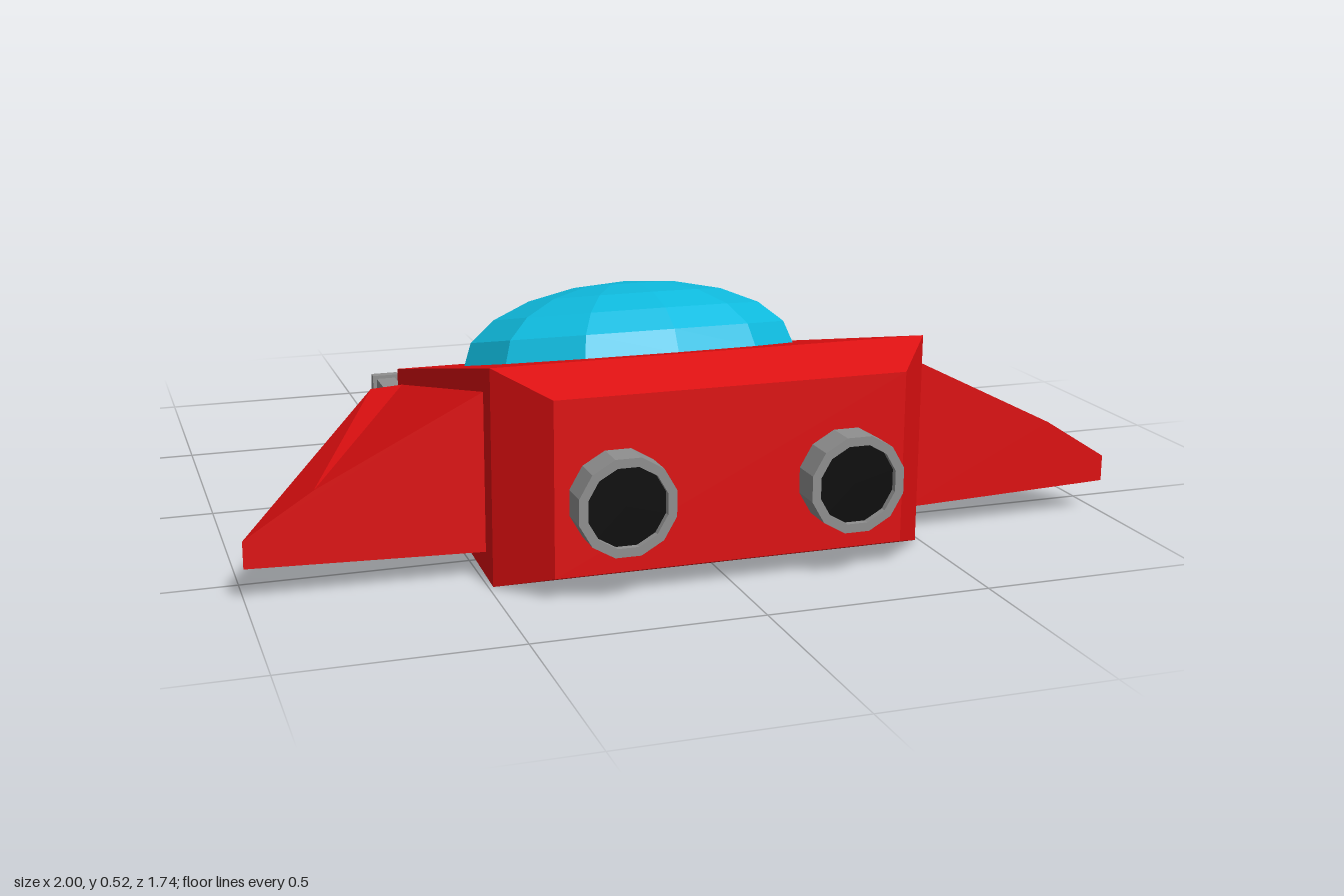
import * as THREE from 'three';

const paint = (name, color) => {
  const m = new THREE.MeshStandardMaterial({ color, flatShading: true });
  m.name = name;
  return m;
};

// Skin between cross-sections given from -z to +z, each { z, pts } with pts counter-clockwise seen from +z
function loft(sections) {
  const pos = [];
  const put = (s, i) => pos.push(s.pts[i][0], s.pts[i][1], s.z);
  const n = sections[0].pts.length;
  for (let k = 0; k < sections.length - 1; k++) {
    const a = sections[k], b = sections[k + 1];
    for (let i = 0; i < n; i++) {
      const j = (i + 1) % n;
      put(a, i); put(a, j); put(b, j);
      put(a, i); put(b, j); put(b, i);
    }
  }
  const first = sections[0], last = sections[sections.length - 1];
  for (let i = 1; i < n - 1; i++) {
    put(last, 0); put(last, i); put(last, i + 1);
    put(first, 0); put(first, i + 1); put(first, i);
  }
  const g = new THREE.BufferGeometry();
  g.setAttribute('position', new THREE.Float32BufferAttribute(pos, 3));
  g.computeVertexNormals();
  return g;
}

// Rectangular section centred on x = 0
const rect = (z, w, y0, y1) => ({ z, pts: [[-w, y0], [w, y0], [w, y1], [-w, y1]] });

export function createModel() {
  const red = paint('red hull', 0xdd0f10);
  const blue = paint('blue glass', 0x0fbce0);
  const grey = paint('grey metal', 0x8f8f8f);
  const black = paint('black opening', 0x0a0a0a);

  const model = new THREE.Group();
  model.name = 'spaceship';
  const add = (name, geometry, material, x = 0, y = 0, z = 0) => {
    const mesh = new THREE.Mesh(geometry, material);
    mesh.name = name;
    mesh.position.set(x, y, z);
    model.add(mesh);
    return mesh;
  };

  // Wedge-shaped hull
  add('hull', loft([
    rect(-0.87, 0.275, 0, 0.075),
    rect(-0.31, 0.49, 0.045, 0.238),
    rect(0.675, 0.49, 0, 0.475),
    rect(0.8, 0.39, 0.05, 0.43),
  ]), red);

  // Canopy: flattened dome lying on the sloping deck
  const dome = new THREE.SphereGeometry(1, 12, 5, 0, Math.PI * 2, 0, Math.PI / 2);
  dome.scale(0.408, 0.178, 0.375);
  add('canopy', dome, blue, 0, 0.332, 0.09).rotation.x = -Math.atan(0.241);

  // Engine ring outline with its hole
  const ring = new THREE.Shape();
  const hole = new THREE.Path();
  for (let i = 0; i < 12; i++) {
    const a = (i + 0.5) * Math.PI / 6;
    const c = Math.cos(a), s = Math.sin(a);
    ring[i ? 'lineTo' : 'moveTo'](0.108 * c, 0.108 * s);
    hole[i ? 'lineTo' : 'moveTo'](0.088 * c, 0.088 * s);
  }
  ring.closePath();
  hole.closePath();
  ring.holes.push(hole);

  for (const side of [1, -1]) {
    const label = side > 0 ? 'left' : 'right';

    // Wing: broad at the back, narrowing to a blunt leading end
    const nose = [[0.49, 0.055], [0.57, 0.055], [0.57, 0.205], [0.57, 0.205], [0.49, 0.21]];
    const tail = [[0.49, 0.058], [1, 0.075], [1, 0.135], [0.85, 0.23], [0.49, 0.41]];
    const flip = (pts) => side > 0 ? pts : pts.map(([x, y]) => [-x, y]).reverse();
    add(label + 'Wing', loft([
      { z: -0.255, pts: flip(nose) },
      { z: 0.615, pts: flip(tail) },
    ]), red);

    // Engine nozzle
    add(label + 'Engine', new THREE.ExtrudeGeometry(ring, { depth: 0.08, bevelEnabled: false }),
      grey, side * 0.254, 0.212, 0.79);
    add(label + 'EngineOpening', new THREE.CircleGeometry(0.09, 12, Math.PI / 12),
      black, side * 0.254, 0.212, 0.856);

    // Cannon with muzzle collar and bore
    const gx = side * 0.461, gy = 0.099;
    add(label + 'Cannon', new THREE.BoxGeometry(0.05, 0.068, 0.4), grey, gx, gy, -0.435);
    add(label + 'Muzzle', new THREE.BoxGeometry(0.07, 0.085, 0.026), grey, gx, gy, -0.642);
    add(label + 'Bore', new THREE.BoxGeometry(0.045, 0.06, 0.004), black, gx, gy, -0.655);
  }
  return model;
}
